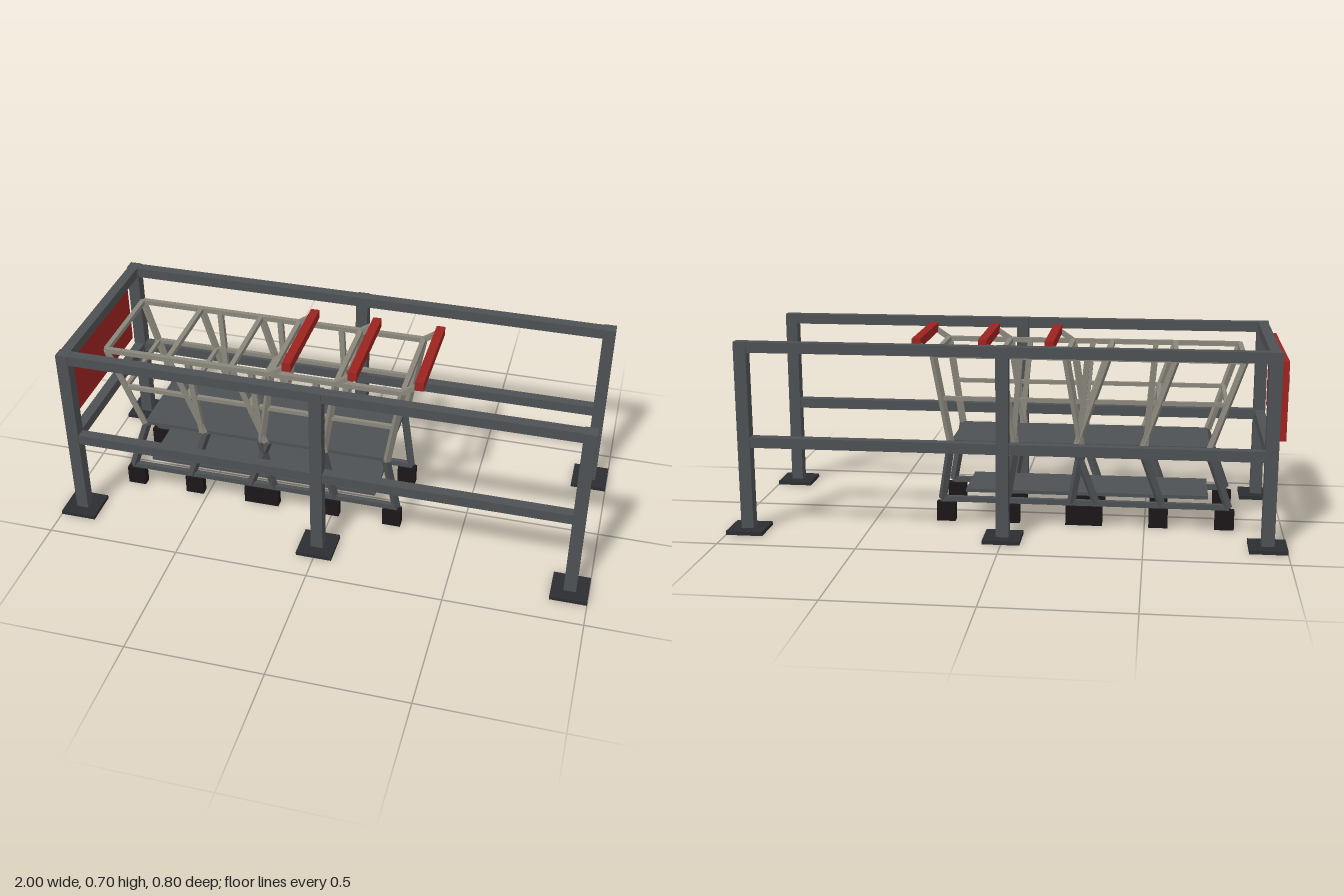
import * as THREE from 'three';

const mat = (color) => new THREE.MeshStandardMaterial({ color });
const frameMat = mat(0x4e5154);
const plateMat = mat(0x2c2d30);
const redMat = mat(0x9c2420);
const wireMat = mat(0x8a877c);
const wheelMat = mat(0x1c1719);
const stripMat = mat(0xa8a48c);

function box(parent, name, material, size, pos) {
  const mesh = new THREE.Mesh(new THREE.BoxGeometry(...size), material);
  mesh.name = name;
  mesh.position.set(...pos);
  parent.add(mesh);
}

// Square bar running between two points
function bar(parent, name, material, a, b, t) {
  const from = new THREE.Vector3(...a);
  const dir = new THREE.Vector3(...b).sub(from);
  const mesh = new THREE.Mesh(new THREE.BoxGeometry(t, dir.length(), t), material);
  mesh.name = name;
  mesh.position.copy(from).addScaledVector(dir, 0.5);
  mesh.quaternion.setFromUnitVectors(new THREE.Vector3(0, 1, 0), dir.normalize());
  parent.add(mesh);
}

// Corral: posts on base plates, side rails and end rails
function createCorral() {
  const g = new THREE.Group();
  g.name = 'corral';
  for (const z of [-0.333, 0.333]) {
    for (const x of [-0.933, 0, 0.933]) {
      box(g, 'basePlate', plateMat, [0.134, 0.014, 0.134], [x, 0.007, z]);
      box(g, 'post', frameMat, [0.045, 0.699, 0.045], [x, 0.35, z]);
    }
    for (const y of [0.68, 0.334]) box(g, 'sideRail', frameMat, [1.9, 0.038, 0.038], [0, y, z]);
  }
  for (const y of [0.68, 0.334]) box(g, 'endRail', frameMat, [0.038, 0.038, 0.64], [-0.933, y, 0]);

  // End sign board with two pale strips on its outer face
  box(g, 'signBoard', redMat, [0.026, 0.28, 0.6], [-0.97, 0.52, 0]);
  box(g, 'upperStrip', stripMat, [0.008, 0.053, 0.5], [-0.986, 0.576, 0]);
  box(g, 'lowerStrip', stripMat, [0.008, 0.036, 0.38], [-0.986, 0.47, 0]);
  return g;
}

// One trolley, its basket rim running from x = -0.36 to 0.27
function createTrolley() {
  const g = new THREE.Group();
  g.name = 'trolley';
  const rimY = 0.636, midY = 0.475, floorY = 0.31;
  const rimZ = 0.182, midZ = 0.168, floorZ = 0.155, footZ = 0.134;

  for (const s of [-1, 1]) {
    // Basket side: rim, middle wire and three uprights
    bar(g, 'rimSide', wireMat, [-0.36, rimY, s * rimZ], [0.27, rimY, s * rimZ], 0.018);
    bar(g, 'middleWireSide', wireMat, [-0.302, midY, s * midZ], [0.243, midY, s * midZ], 0.015);
    for (const [top, bottom] of [[-0.36, -0.25], [-0.045, -0.018], [0.27, 0.215]]) {
      bar(g, 'basketUpright', wireMat, [top, rimY, s * rimZ], [bottom, floorY, s * floorZ], 0.02);
    }
    bar(g, 'handleArm', wireMat, [0.268, rimY, s * rimZ], [0.33, 0.678, s * rimZ], 0.018);

    // Undercarriage: legs, runner and wheels
    bar(g, 'frontLeg', frameMat, [-0.24, floorY, s * floorZ], [-0.322, 0.085, s * footZ], 0.023);
    bar(g, 'rearLeg', frameMat, [0.212, floorY, s * floorZ], [0.25, 0.085, s * footZ], 0.023);
    bar(g, 'runner', frameMat, [-0.325, 0.086, s * footZ], [0.255, 0.086, s * footZ], 0.02);
    for (const x of [-0.31, 0.235]) box(g, 'wheel', wheelMat, [0.07, 0.072, 0.033], [x, 0.039, s * footZ]);
  }

  // Cross bars and handle
  for (const x of [-0.36, 0.27]) bar(g, 'rimCross', wireMat, [x, rimY, -rimZ], [x, rimY, rimZ], 0.018);
  bar(g, 'middleWireFront', wireMat, [-0.302, midY, -midZ], [-0.302, midY, midZ], 0.015);
  box(g, 'handle', redMat, [0.032, 0.034, 0.386], [0.33, 0.679, 0]);

  // Basket floor and lower tray
  box(g, 'basketFloor', frameMat, [0.46, 0.012, 0.305], [-0.018, 0.309, 0]);
  box(g, 'lowerTray', frameMat, [0.413, 0.013, 0.24], [-0.043, 0.115, 0]);
  return g;
}

export function createModel() {
  const model = new THREE.Group();
  model.name = 'trolleyCorral';
  model.add(createCorral());

  // Three nested trolleys
  for (let i = 0; i < 3; i++) {
    const trolley = createTrolley();
    trolley.position.x = -0.24 * i;
    model.add(trolley);
  }
  return model;
}
